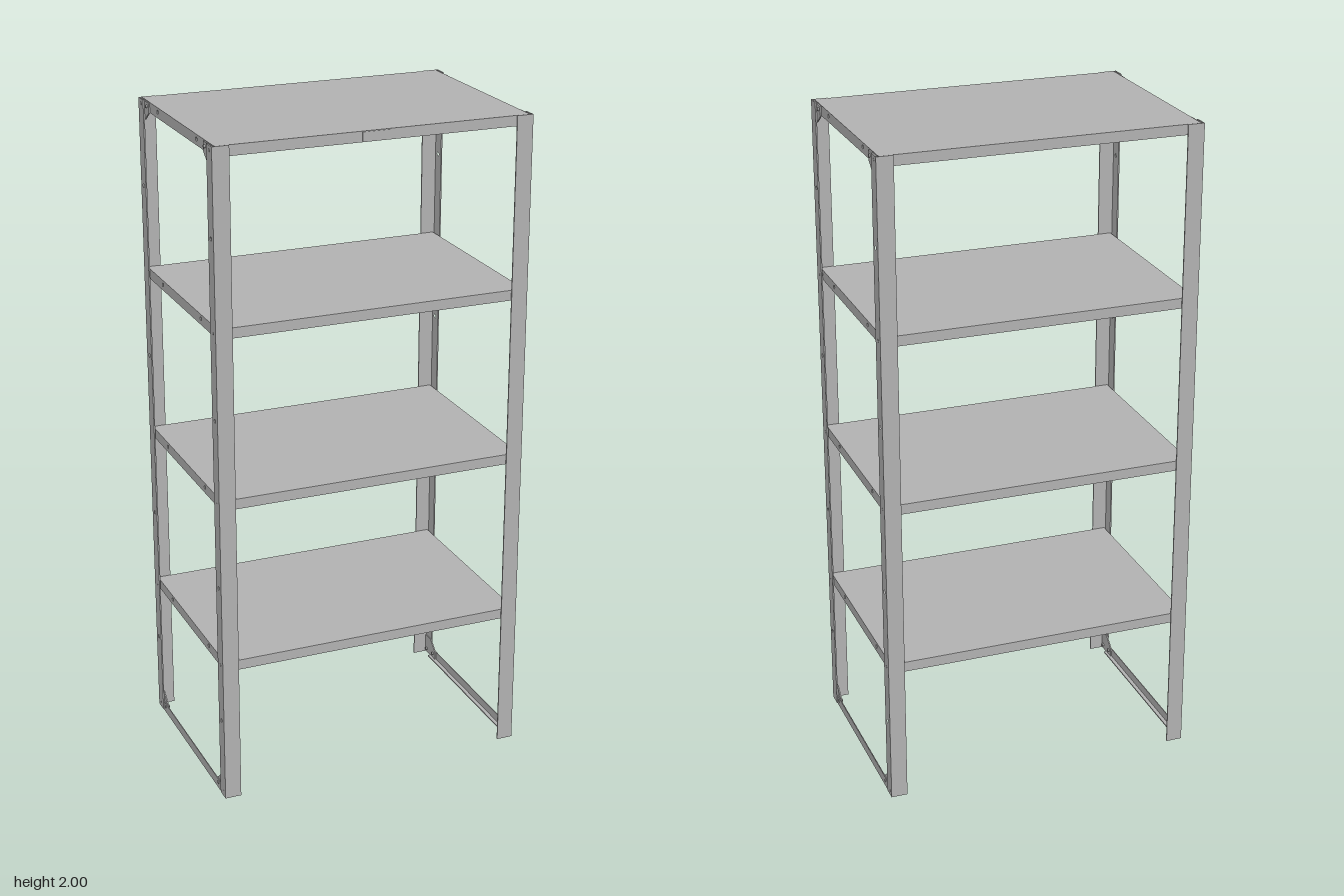
import * as THREE from 'three';

const HALF_X = 0.48, HALF_Z = 0.315, HEIGHT = 2, T = 0.004;
const SHELF_TOPS = [0.455, 0.97, 1.485, 2.0];
const SHELF_X = 0.471, SHELF_Z = 0.3105, LIP = 0.031, HOLE_R = 0.006;

export function createModel() {
  const model = new THREE.Group();
  model.name = 'shelvingUnit';
  const steel = new THREE.MeshStandardMaterial({ color: 0xb3b3b3 });
  steel.name = 'grey steel';

  const add = (parent, name, geometry) => {
    const mesh = new THREE.Mesh(geometry, steel);
    mesh.name = name;
    parent.add(mesh);
    return mesh;
  };

  // Box given by its limits on each axis
  const box = (parent, name, x0, x1, y0, y1, z0, z1) =>
    add(parent, name, new THREE.BoxGeometry(Math.abs(x1 - x0), y1 - y0, Math.abs(z1 - z0))
      .translate((x0 + x1) / 2, (y0 + y1) / 2, (z0 + z1) / 2));

  // Upright plate in the z/y plane with round holes; its outer face is at |x| = outer
  const sidePlate = (parent, name, side, outer, thickness, points, holes = []) => {
    const shape = new THREE.Shape(points.map(([z, y]) => new THREE.Vector2(z, y)));
    for (const [z, y] of holes) {
      const hole = new THREE.Path();
      hole.absarc(z, y, HOLE_R, 0, Math.PI * 2, true);
      shape.holes.push(hole);
    }
    const geometry = new THREE.ExtrudeGeometry(shape, { depth: thickness, bevelEnabled: false, curveSegments: 5 });
    geometry.rotateY(-Math.PI / 2).translate(side > 0 ? outer : thickness - outer, 0, 0);
    return add(parent, name, geometry);
  };

  const rect = (z0, z1, y0, y1) => [[z0, y0], [z1, y0], [z1, y1], [z0, y1]];

  const bolt = (parent, side, y, z) =>
    add(parent, 'bolt', new THREE.CylinderGeometry(0.005, 0.005, 0.014, 8)
      .rotateZ(Math.PI / 2).translate(side * 0.4735, y, z));

  // Corner posts: angle section, with gussets and bolts
  for (const side of [-1, 1]) {
    for (const end of [-1, 1]) {
      const post = new THREE.Group();
      post.name = 'cornerPost';
      model.add(post);

      box(post, 'postFaceFlange', side * 0.43, side * HALF_X, 0, HEIGHT, end * (HALF_Z - T), end * HALF_Z);
      sidePlate(post, 'postSideFlange', side, HALF_X, T,
        rect(end * 0.272, end * (HALF_Z - T), 0, HEIGHT),
        [0.255, 0.69, 1.21, 1.74].map((y) => [end * 0.293, y]));

      // Chamfered gussets at the top and bottom corners
      const gusset = (yEdge, yLip, yEnd) => sidePlate(post, 'cornerGusset', side, 0.476, T,
        [[0.311, yEdge], [0.235, yEdge], [0.235, yLip], [0.272, yEnd], [0.311, yEnd]]
          .map(([z, y]) => [end * z, y]));
      gusset(HEIGHT - 0.002, HEIGHT - LIP, 1.942);
      gusset(0.002, 0.03, 0.062);

      for (const y of SHELF_TOPS) bolt(post, side, y - 0.014, end * 0.293);
      bolt(post, side, 1.986, end * 0.25);
      bolt(post, side, 0.016, end * 0.298);
      bolt(post, side, 0.02, end * 0.25);
    }

    // Bottom side rail: upright plate with a narrow foot
    const rail = new THREE.Group();
    rail.name = 'bottomRail';
    model.add(rail);
    sidePlate(rail, 'railPlate', side, 0.4785, 0.0025, rect(-0.272, 0.272, 0, 0.03));
    box(rail, 'railFoot', side * 0.464, side * 0.476, 0, T, -0.272, 0.272);
  }

  // Shelves: sheet-metal trays open underneath
  for (const top of SHELF_TOPS) {
    const shelf = new THREE.Group();
    shelf.name = 'shelf';
    model.add(shelf);
    box(shelf, 'shelfPanel', -SHELF_X, SHELF_X, top - T, top, -SHELF_Z, SHELF_Z);
    for (const s of [-1, 1]) {
      box(shelf, 'shelfLongLip', -SHELF_X, SHELF_X, top - LIP, top - T, s * (SHELF_Z - T), s * SHELF_Z);
      sidePlate(shelf, 'shelfSideLip', s, SHELF_X, T,
        rect(-SHELF_Z + T, SHELF_Z - T, top - LIP, top - T),
        [[-0.167, top - 0.0135], [0.167, top - 0.0135]]);
    }
  }

  // Small blank plate on the front edge of the top shelf
  box(model, 'labelPlate', -0.042, 0.042, 1.971, 1.998, SHELF_Z, SHELF_Z + 0.002);

  return model;
}
